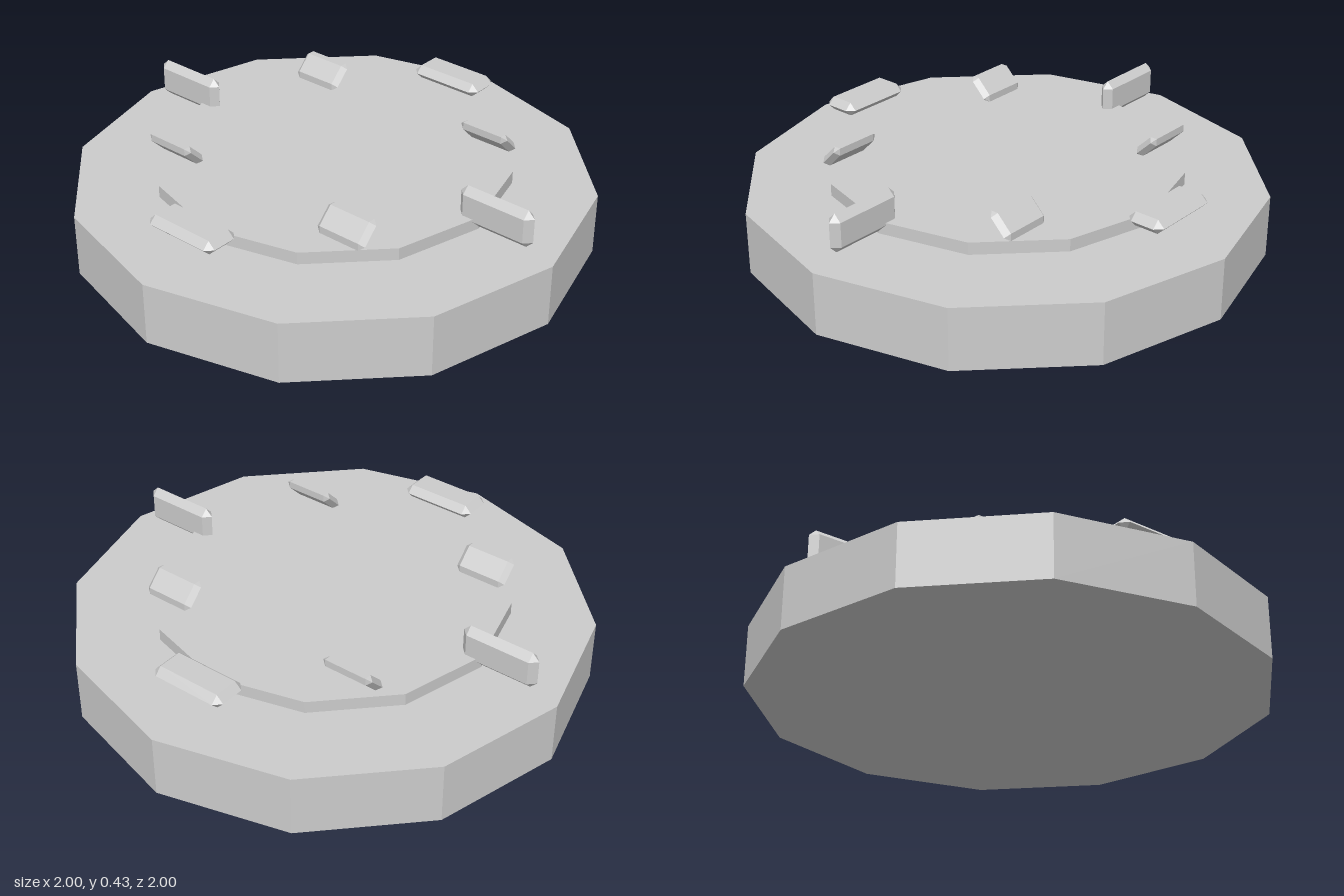
import * as THREE from 'three';
import { ConvexGeometry } from 'three/addons/geometries/ConvexGeometry.js';

// Flat bar whose chamfered edges meet at mid thickness (half sizes: hx, r, hz)
function barGeometry(hx, r, hz) {
  const points = [];
  for (const sx of [-1, 1]) {
    for (const sz of [-1, 1]) {
      points.push(
        new THREE.Vector3(sx * hx, 0, sz * (hz - r)),
        new THREE.Vector3(sx * (hx - r), 0, sz * hz),
        new THREE.Vector3(sx * (hx - r), r, sz * (hz - r)),
        new THREE.Vector3(sx * (hx - r), -r, sz * (hz - r))
      );
    }
  }
  return new ConvexGeometry(points);
}

export function createModel() {
  const model = new THREE.Group();
  model.name = 'dialPlatform';
  const grey = new THREE.MeshStandardMaterial({ color: 0xcccccc, flatShading: true });
  grey.name = 'light grey';

  const add = (name, geometry, x, y, z) => {
    const mesh = new THREE.Mesh(geometry, grey);
    mesh.name = name;
    mesh.position.set(x, y, z);
    model.add(mesh);
    return mesh;
  };

  // Twelve-sided base and the thin plate hovering just above it
  add('base', new THREE.CylinderGeometry(1, 1, 0.245, 12), 0, 0.1225, 0);
  add('innerPlate', new THREE.CylinderGeometry(0.68, 0.68, 0.048, 12), 0, 0.291, 0);

  // Ring of eight bars, each rolled about z by its place on the ring
  const largeBar = barGeometry(0.075, 0.0275, 0.157);
  const smallBar = barGeometry(0.062, 0.02, 0.107);
  for (let i = 0; i < 8; i++) {
    const angle = (i * Math.PI) / 4;
    const large = i % 2 === 0;
    const radius = large ? 0.756 : 0.59;
    const bar = add(
      large ? 'largeBar' : 'smallBar',
      large ? largeBar : smallBar,
      Math.cos(angle) * radius, large ? 0.353 : 0.373, Math.sin(angle) * radius
    );
    bar.rotation.z = -angle;
  }
  return model;
}
